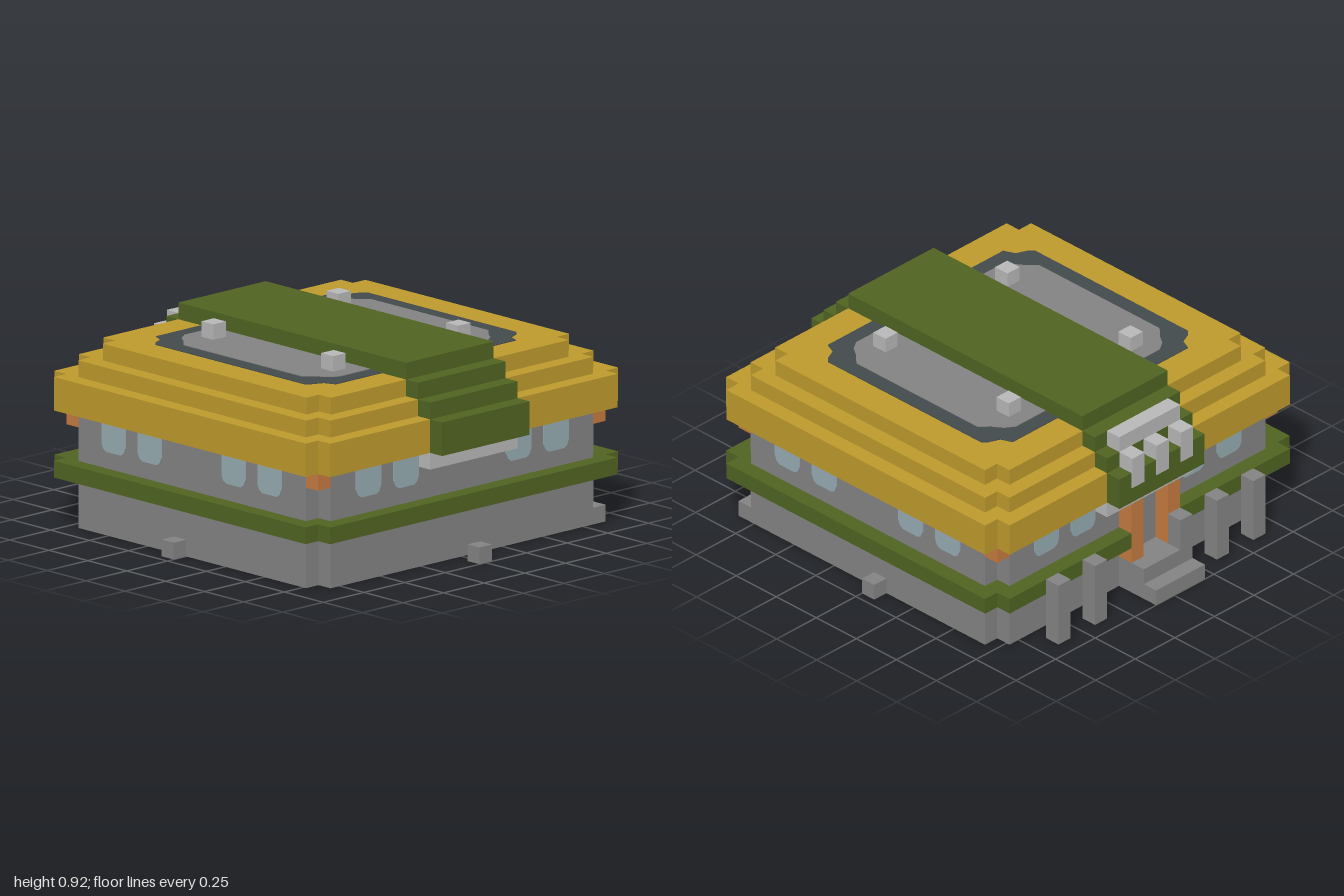
import * as THREE from 'three';

const U = 1 / 13; // one block

const mat = (name, color) => {
  const m = new THREE.MeshStandardMaterial({ color });
  m.name = name;
  return m;
};

export function createModel() {
  const gold = mat('gold', 0xbe9a2c), olive = mat('olive', 0x506422), gray = mat('gray', 0x838383);
  const light = mat('light gray', 0xb8b8b8), slate = mat('slate', 0x434a4c), orange = mat('orange', 0xc47a40);
  const glass = mat('window blue', 0x96acb2), grass = mat('grass green', 0x5f8c4a);

  const model = new THREE.Group();
  const add = (name, geo, material) => {
    const mesh = new THREE.Mesh(geo, material);
    mesh.name = name;
    model.add(mesh);
    return mesh;
  };

  // Box between two corners, measured in blocks
  const box = (name, m, x0, x1, y0, y1, z0, z1) => {
    const mesh = add(name, new THREE.BoxGeometry((x1 - x0) * U, (y1 - y0) * U, (z1 - z0) * U), m);
    mesh.position.set((x0 + x1) / 2 * U, (y0 + y1) / 2 * U, (z0 + z1) / 2 * U);
    return mesh;
  };

  // Rectangle with a one-block notch in each corner; soft = extra chamfer of the notch
  const notched = (w, z0, z1, soft = 0, PathType = THREE.Shape) => {
    const s = soft, c = (z0 + z1) / 2, h = (z1 - z0) / 2;
    const quarter = [[w, h - 1 - s], [w - s, h - 1], [w - 1, h - 1 + s], [w - 1 - s, h]];
    if (!s) quarter.splice(0, 4, [w, h - 1], [w - 1, h - 1], [w - 1, h]);
    const flip = [...quarter].reverse();
    const pts = [
      ...quarter, ...flip.map(([x, y]) => [-x, y]),
      ...quarter.map(([x, y]) => [-x, -y]), ...flip.map(([x, y]) => [x, -y]),
    ];
    return new PathType(pts.map(([x, y]) => new THREE.Vector2(x * U, (y - c) * U)));
  };
  const slab = (name, m, shape, y0, y1) => {
    const geo = new THREE.ExtrudeGeometry(shape, { depth: (y1 - y0) * U, bevelEnabled: false });
    geo.rotateX(-Math.PI / 2).translate(0, y0 * U, 0);
    return add(name, geo, m);
  };

  // Hollow base rim and walls
  const rim = notched(11.5, -10, 11);
  rim.holes.push(notched(10.5, -9, 10, 0, THREE.Path));
  slab('baseRim', gray, rim, 0, 1);
  slab('walls', gray, notched(11.5, -10, 11), 1, 7);
  box('baseCorner', gray, 10.5, 11.5, 0, 1, 10, 11);

  // Belt around the walls, left open at the door
  const belt = new THREE.Shape([
    [1.5, 11], [11.5, 11], [11.5, 10], [12.5, 10], [12.5, -11], [11.5, -11], [11.5, -12],
    [-11.5, -12], [-11.5, -11], [-12.5, -11], [-12.5, 10], [-11.5, 10], [-11.5, 11], [-2.5, 11],
    [-2.5, 9.5], [-10.5, 9.5], [-10.5, -10], [10.5, -10], [10.5, 9.5], [1.5, 9.5],
  ].map(([x, y]) => new THREE.Vector2(x * U, y * U)));
  slab('belt', olive, belt, 3, 4);

  // Stepped roof and the raised stripe over it
  [[7, 9, 12.5, -11, 12], [9, 10, 11.5, -10, 11], [10, 11, 10.5, -9, 10]].forEach(([y0, y1, w, z0, z1]) =>
    slab('roofTier', gold, notched(w, z0, z1), y0, y1));
  [[7, 9, -12, 13], [9, 10, -11, 12], [10, 11, -10, 11], [11, 12, -9, 10]].forEach(([y0, y1, z0, z1]) =>
    box('roofStripe', olive, -3.5, 3.5, y0, y1, z0, z1));

  // Roof panel with a dark border and four lamps
  slab('panelBorder', slate, notched(8.5, -7, 8, 0.3), 11, 11.04);
  slab('roofPanel', gray, notched(7.5, -6, 7, 0.6), 11.03, 11.08);
  for (const x of [-5, 5]) for (const z of [-4.5, 5.5])
    box('roofLamp', light, x - 0.5, x + 0.5, 11, 12, z - 0.5, z + 0.5);

  // Lintels under the stripe, and corner brackets
  box('frontLintel', light, -3.5, 3.5, 6, 7, 11, 12);
  box('backLintel', light, -3.5, 3.5, 6, 7, -11, -10);
  for (const x of [-11, 11]) for (const z of [-9.5, 10.5])
    box('cornerBracket', orange, x - 0.5, x + 0.5, 6, 7, z - 0.5, z + 0.5);

  // Crest over the door
  box('crestBar', light, -2.5, 2.5, 10, 11, -11, -10);
  for (const x of [-2, 0, 2]) box('crestTooth', light, x - 0.5, x + 0.5, 8, 10, -12.06, -11);

  // Windows: thin panes with clipped lower corners
  const pane = new THREE.Shape([[-1, 7], [-1, 5.5], [-0.85, 5.15], [-0.6, 5], [0.6, 5], [0.85, 5.15], [1, 5.5], [1, 7]]
    .map(([x, y]) => new THREE.Vector2(x * U, y * U)));
  const paneGeo = new THREE.ExtrudeGeometry(pane, { depth: 0.005, bevelEnabled: false });
  const addPane = (x, z, turn) => {
    const p = add('window', paneGeo, glass);
    p.position.set(x * U, 0, z * U);
    p.rotation.y = turn;
  };
  for (const x of [-7.5, -4.5, 4.5, 7.5]) {
    addPane(x, 11, 0);
    addPane(x, -10, Math.PI);
  }
  for (const z of [7, 4, -3, -6]) {
    addPane(11.5, z, Math.PI / 2);
    addPane(-11.5, z, -Math.PI / 2);
  }

  // Door posts, steps and fence at the back
  for (const x of [-2, 1]) box('doorPost', orange, x - 0.5, x + 0.5, 2, 6, -11, -10);
  box('lowerStep', gray, -2.5, 1.5, 0, 1, -13, -12);
  box('upperStep', gray, -2.5, 1.5, 0, 2, -12, -10);
  for (const x of [-8, -5, -2, 5, 8]) box('fencePost', gray, x - 0.5, x + 0.5, 0, 4, -12, -11);

  // Small ground blocks
  box('frontBlock', gray, -0.5, 0.5, 0, 1, 12, 13);
  for (const x of [-12, 12]) box('sideBlock', gray, x - 0.5, x + 0.5, 0, 1, -1, 0);

  // Floor markings on the underside
  slab('floorBorder', slate, notched(8.5, -6, 7, 0.3), 0.96, 1);
  slab('floorField', grass, notched(7.5, -5, 6, 0.6), 0.92, 0.97);
  slab('floorCentre', slate, notched(2.7, -1.7, 2.7, 0.3), 0.9, 0.94);
  for (const x of [-5, 0, 5]) box('floorSpot', gray, x - 0.5, x + 0.5, 0.88, 0.93, 0, 1);
  box('floorMat', olive, -10.5, -8, 0.94, 1, -3, 4);

  return model;
}
